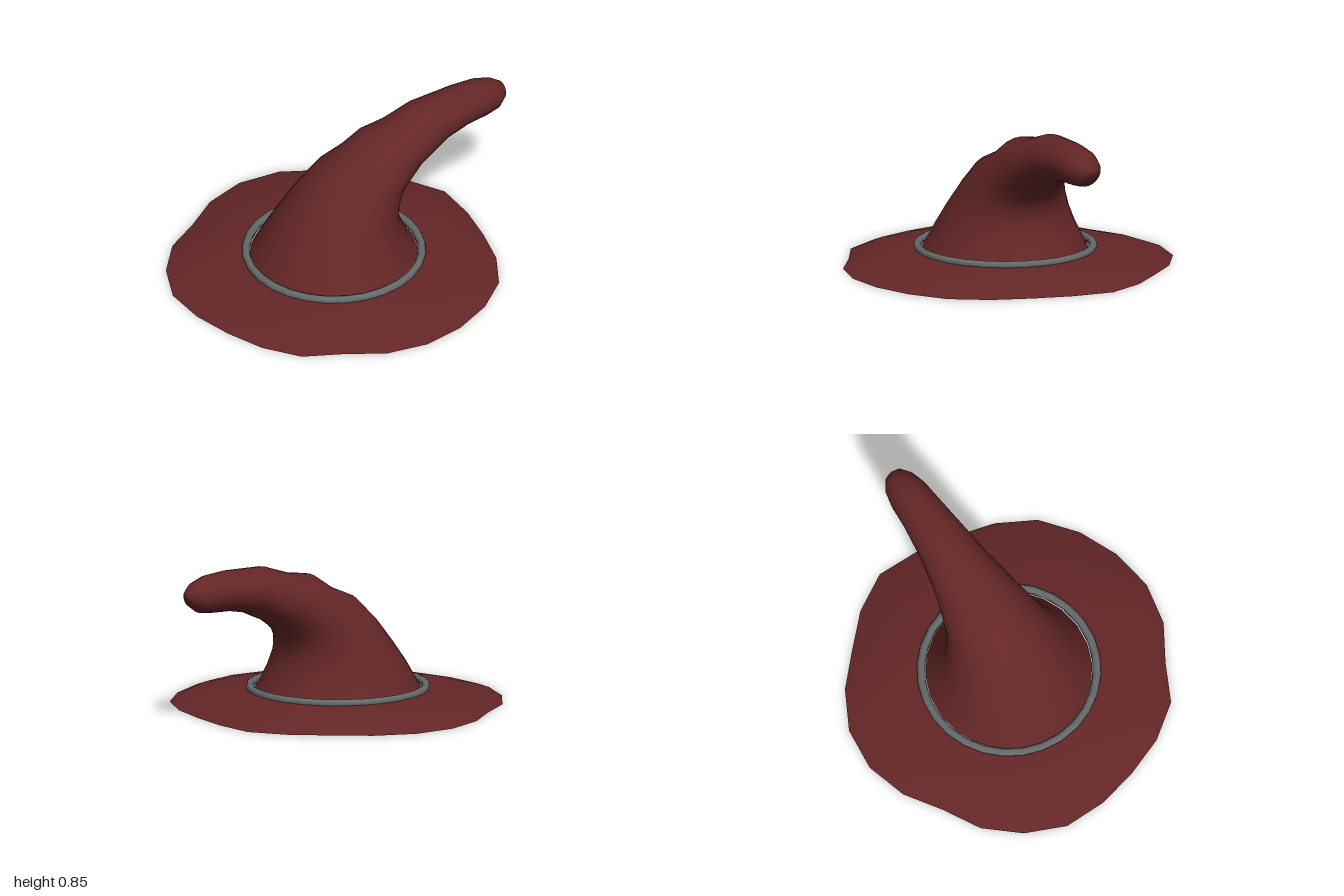
import * as THREE from 'three';

// Skin a list of closed rings (arrays of [x, y, z]) with smooth normals
function loft(rings) {
  const n = rings[0].length;
  const index = [];
  for (let i = 0; i < rings.length - 1; i++) {
    for (let j = 0; j < n; j++) {
      const k = (j + 1) % n;
      const a = i * n + j, b = i * n + k, c = a + n, d = b + n;
      index.push(a, b, d, a, d, c);
    }
  }
  const geometry = new THREE.BufferGeometry();
  geometry.setAttribute('position', new THREE.Float32BufferAttribute(rings.flat(2), 3));
  geometry.setIndex(index);
  geometry.computeVertexNormals();
  return geometry;
}

export function createModel() {
  const felt = new THREE.MeshStandardMaterial({ color: 0x642626, side: THREE.DoubleSide });
  felt.name = 'dark red felt';
  const cord = new THREE.MeshStandardMaterial({ color: 0x666a6a });
  cord.name = 'grey cord';

  const hat = new THREE.Group();
  hat.name = 'pointedHat';
  const cx = -0.11;
  const add = (name, geometry, material) => {
    const mesh = new THREE.Mesh(geometry, material);
    mesh.name = name;
    hat.add(mesh);
    return mesh;
  };

  // Brim: uneven outer radii, one every 15 degrees, rising to the crown opening
  const radii = [
    0.89, 0.87, 0.88, 0.89, 0.85, 0.89, 0.91, 0.91, 0.91, 0.91, 0.88, 0.855,
    0.87, 0.91, 0.885, 0.86, 0.89, 0.92, 0.92, 0.89, 0.85, 0.89, 0.91, 0.92,
  ];
  const brimSteps = [[1, 0], [0.86, 0.025], [0.6, 0.052], [0.35, 0.071], [0.15, 0.084], [0, 0.09]];
  const inner = 0.455;
  add('brim', loft(brimSteps.map(([f, y]) => radii.map((outer, j) => {
    const a = (j / radii.length) * Math.PI * 2;
    const r = inner + (outer - inner) * f;
    return [cx - Math.cos(a) * r, y, Math.sin(a) * r];
  }))), felt);

  // Crown sections: outer-bend x, y, inner-bend x, y, half width in z
  const sections = [
    [-0.565, 0.085, 0.345, 0.085, 0.45],
    [-0.55, 0.11, 0.325, 0.11, 0.435],
    [-0.48, 0.23, 0.275, 0.21, 0.38],
    [-0.40, 0.34, 0.245, 0.30, 0.335],
    [-0.30, 0.47, 0.26, 0.38, 0.29],
    [-0.17, 0.60, 0.30, 0.44, 0.25],
    [-0.02, 0.665, 0.36, 0.485, 0.22],
    [0.10, 0.745, 0.42, 0.525, 0.195],
    [0.25, 0.77, 0.50, 0.56, 0.17],
    [0.43, 0.83, 0.59, 0.60, 0.148],
    [0.70, 0.845, 0.71, 0.625, 0.123],
    [0.84, 0.838, 0.83, 0.632, 0.112],
    [0.93, 0.813, 0.915, 0.643, 0.09],
    [0.98, 0.78, 0.97, 0.68, 0.053],
    [0.997, 0.735, 0.997, 0.735, 0],
  ];
  const sides = 24;
  add('crown', loft(sections.map(([x1, y1, x2, y2, w]) =>
    Array.from({ length: sides }, (_, j) => {
      const a = (j / sides) * Math.PI * 2;
      const c = Math.cos(a) / 2;
      return [(x1 + x2) / 2 + (x1 - x2) * c, (y1 + y2) / 2 + (y1 - y2) * c, Math.sin(a) * w];
    }))), felt);

  // Cord around the foot of the crown
  const band = add('hatBand', new THREE.TorusGeometry(0.477, 0.022, 8, 28), cord);
  band.rotation.x = -Math.PI / 2;
  band.position.set(cx, 0.096, 0);

  return hat;
}
